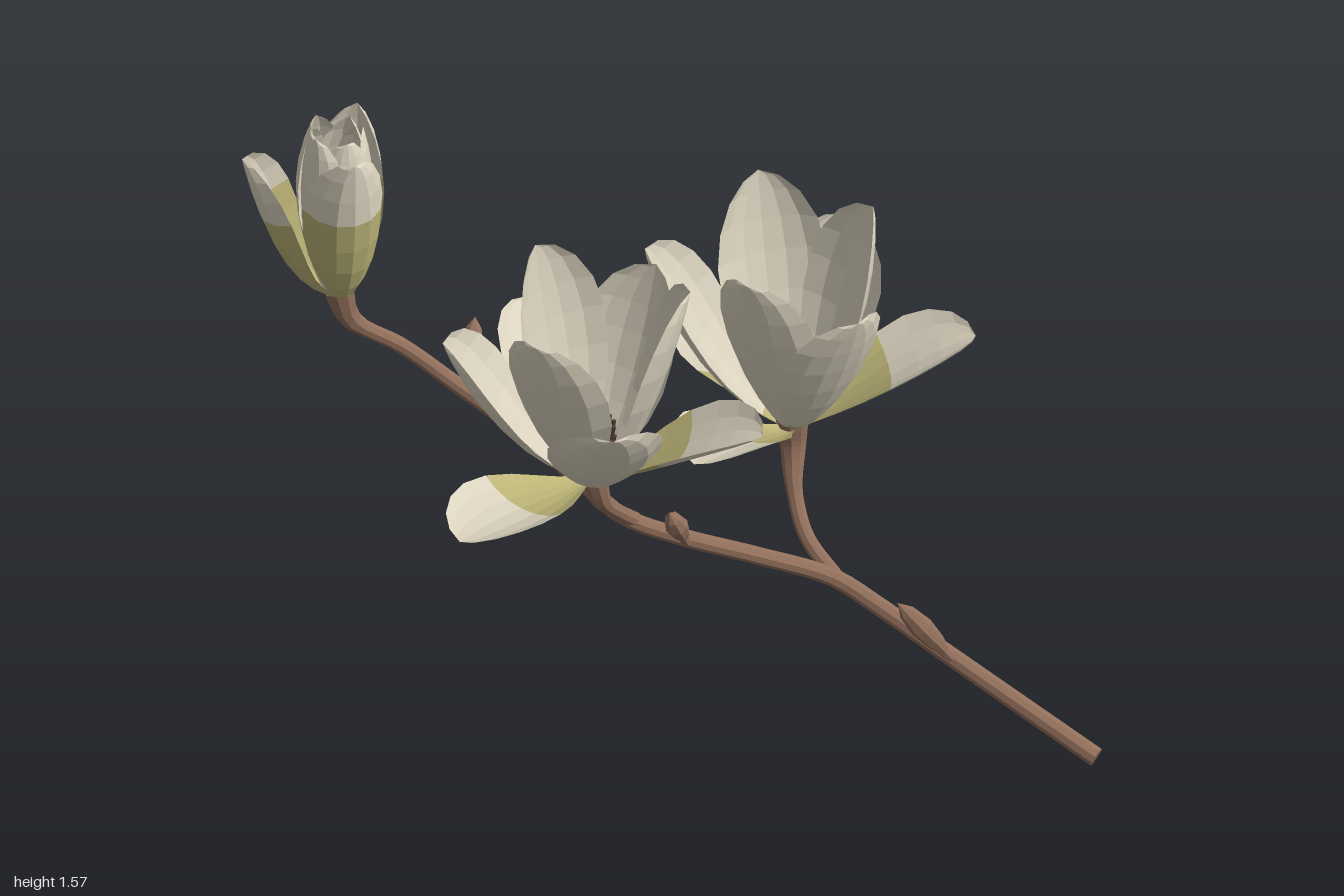
import * as THREE from 'three';

const mat = (name, color) => {
  const m = new THREE.MeshStandardMaterial({ color, side: THREE.DoubleSide });
  m.name = name;
  return m;
};
const V = (p) => new THREE.Vector3(...p);
const UP = new THREE.Vector3(0, 1, 0);

// Facet a geometry so every face has its own normal
function facet(geo) {
  const g = geo.index ? geo.toNonIndexed() : geo;
  g.computeVertexNormals();
  return g;
}

// Tube along points, with a radius that varies from 0 to 1 along its length
function taperedTube(points, radiusAt, segments = 24, sides = 9) {
  const curve = new THREE.CatmullRomCurve3(points.map(V));
  const geo = new THREE.TubeGeometry(curve, segments, 1, sides);
  const pos = geo.attributes.position, v = new THREE.Vector3();
  for (let i = 0; i < pos.count; i++) {
    const u = Math.floor(i / (sides + 1)) / segments;
    const c = curve.getPointAt(u);
    v.fromBufferAttribute(pos, i).sub(c).multiplyScalar(radiusAt(u)).add(c);
    pos.setXYZ(i, v.x, v.y, v.z);
  }
  return facet(geo);
}

// Petal rows, crowded toward the rounded tip
const ROWS = [0, 0.12, 0.25, 0.4, 0.55, 0.7, 0.82, 0.92, 0.98, 1];
const COLS = 6;
const WIDEST = 0.67;
function halfWidth(t, claw) {
  if (t > WIDEST)
    return Math.pow(Math.max(0, 1 - ((t - WIDEST) / (1 - WIDEST)) ** 2), 0.52);
  return claw + (1 - claw) * Math.pow(Math.sin((t / WIDEST) * Math.PI / 2), 1.5);
}

// Petal from base to tip; bend = [out1, up1, out2, up2] places the middle of its spine
function petalGeometry(base, tip, { width, claw, cup, bend, greenRows }) {
  const d = new THREE.Vector3(tip.x - base.x, 0, tip.z - base.z);
  const h = tip.y - base.y;
  const dir = d.clone().normalize();
  const side = new THREE.Vector3(dir.z, 0, -dir.x);
  const start = base.clone().addScaledVector(dir, 0.025);
  const via = (o, u) => base.clone().addScaledVector(d, o).addScaledVector(UP, u * h);
  const spine = new THREE.CubicBezierCurve3(
    start, via(bend[0], bend[1]), via(bend[2], bend[3]), tip);
  const grid = ROWS.map((t) => {
    const c = spine.getPoint(t);
    const n = spine.getTangent(t).cross(side).normalize();
    const w = width * halfWidth(t, claw);
    return Array.from({ length: COLS + 1 }, (_, j) => {
      const s = (j / COLS) * 2 - 1;
      return c.clone().addScaledVector(side, w * s * (1 - 0.3 * cup * s * s))
        .addScaledVector(n, w * cup * s * s);
    });
  });
  const out = [];
  for (let i = 0; i < ROWS.length - 1; i++)
    for (let j = 0; j < COLS; j++) {
      const a = grid[i][j], b = grid[i][j + 1], c = grid[i + 1][j + 1], e = grid[i + 1][j];
      const tris = i === ROWS.length - 2 ? [a, b, c] : [a, b, c, a, c, e];
      for (const p of tris) out.push(p.x, p.y, p.z);
    }
  const geo = new THREE.BufferGeometry();
  geo.setAttribute('position', new THREE.Float32BufferAttribute(out, 3));
  geo.computeVertexNormals();
  const split = greenRows * COLS * 6;
  if (split) geo.addGroup(0, split, 0);
  geo.addGroup(split, out.length / 3 - split, 1);
  return geo;
}

const WHORLS = {
  spread: { width: 0.135, claw: 0.18, cup: 0.28, bend: [0.3, 0.15, 0.65, 1.1], greenRows: 4 },
  raised: { width: 0.14, claw: 0.18, cup: 0.36, bend: [0.3, 0.22, 0.65, 0.76], greenRows: 4 },
  middle: { width: 0.158, claw: 0.18, cup: 0.4, bend: [0.42, 0.14, 0.8, 0.58], greenRows: 1 },
  inner: { width: 0.155, claw: 0.18, cup: 0.4, bend: [0.5, 0.17, 0.85, 0.6], greenRows: 0 },
  budOuter: { width: 0.13, claw: 0.35, cup: 0.75, bend: [0.85, 0.1, 1.08, 0.57], greenRows: 5 },
  budLeaning: { width: 0.12, claw: 0.35, cup: 0.65, bend: [0.55, 0.1, 0.85, 0.57], greenRows: 5 },
  budInner: { width: 0.095, claw: 0.35, cup: 0.65, bend: [1.2, 0.15, 1.7, 0.62], greenRows: 1 },
};

const FLOWERS = [
  {
    name: 'backFlower', base: [0.12, 0.63, -0.33], open: true,
    spread: [[-0.27, 0.63, -0.6], [0.08, 0.79, 0.11]],
    raised: [[0.49, 0.86, -0.56]],
    middle: [[0.09, 1.01, -0.68], [-0.22, 1.1, -0.23], [0.36, 1.09, -0.2]],
    inner: [[0.1, 1.16, -0.13], [-0.06, 1.2, -0.51], [0.25, 1.2, -0.5]],
  },
  {
    name: 'frontFlower', base: [-0.14, 0.75, 0.21], open: true,
    spread: [[-0.26, 0.82, 0.67]],
    raised: [[-0.46, 0.98, -0.08], [0.29, 0.98, 0.17]],
    middle: [[-0.09, 1.23, -0.03], [-0.45, 1.15, 0.38], [0.08, 1.14, 0.54]],
    inner: [[-0.32, 1.33, 0.15], [0.08, 1.31, 0.13], [-0.16, 1.29, 0.47]],
  },
  {
    name: 'closedFlower', base: [-0.79, 1.1, 0.25], open: false,
    budLeaning: [[-0.99, 1.5, 0.36]],
    budOuter: [[-0.7, 1.56, 0.34], [-0.81, 1.56, 0.11]],
    budInner: [[-0.87, 1.57, 0.21], [-0.75, 1.57, 0.2], [-0.82, 1.58, 0.31],
      [-0.79, 1.58, 0.19], [-0.85, 1.58, 0.28], [-0.75, 1.57, 0.28]],
  },
];

export function createModel() {
  const model = new THREE.Group();
  model.name = 'floweringBranch';
  const cream = mat('creamPetal', 0xdad2be);
  const green = mat('greenPetalBase', 0xbbb376);
  const bark = mat('brownBark', 0x916f5b);
  const dark = mat('darkStamen', 0x543a31);
  const add = (parent, name, geo, material) => {
    const m = new THREE.Mesh(geo, material);
    m.name = name;
    parent.add(m);
    return m;
  };

  // Main branch with a swelling below the closed flower
  const swell = (from, to, start) => (u) =>
    u < start ? from : from + (to - from) * ((u - start) / (1 - start));
  const mainPoints = [
    [0.99, 0.027, -0.195], [0.6, 0.2, -0.195], [0.42, 0.28, -0.195], [0.3, 0.335, -0.185],
    [0.15, 0.42, -0.08], [0, 0.5, 0.03], [-0.12, 0.565, 0.095], [-0.25, 0.63, 0.08],
    [-0.42, 0.7, 0.055], [-0.58, 0.78, 0.06], [-0.68, 0.91, 0.14], [-0.77, 1.02, 0.23],
    [-0.79, 1.12, 0.25]];
  add(model, 'mainBranch', taperedTube(mainPoints,
    (u) => 0.024 - 0.005 * u + (u > 0.93 ? (u - 0.93) * 0.28 : 0), 60), bark);
  const cut = add(model, 'cutEnd', new THREE.CircleGeometry(0.024, 9), bark);
  cut.position.set(...mainPoints[0]);
  cut.lookAt(2, -0.42, -0.195);

  // Flower stalks
  add(model, 'backStalk', taperedTube(
    [[0.31, 0.33, -0.19], [0.21, 0.4, -0.225], [0.15, 0.49, -0.28], [0.125, 0.58, -0.325],
      [0.12, 0.65, -0.33]], swell(0.019, 0.04, 0.55)), bark);
  add(model, 'frontStalk', taperedTube(
    [[-0.09, 0.55, 0.08], [-0.11, 0.6, 0.13], [-0.125, 0.67, 0.19], [-0.14, 0.77, 0.21]],
    swell(0.019, 0.038, 0.5)), bark);

  // Small leaf buds on short stems: base, tip
  const budProfile = [[0.014, 0], [0.014, 0.2], [0.022, 0.34], [0.028, 0.58], [0.02, 0.84], [0, 1]];
  const leafBuds = [
    [[-0.55, 0.76, 0.05], [-0.588, 0.885, -0.07]],
    [[-0.44, 0.7, 0.06], [-0.468, 0.825, 0.01]],
    [[0.02, 0.49, 0.03], [0.005, 0.605, 0.09]],
    [[0.62, 0.19, -0.19], [0.5, 0.365, -0.125]]];
  leafBuds.forEach(([from, to], i) => {
    const a = V(from), axis = V(to).sub(a), length = axis.length();
    const geo = new THREE.LatheGeometry(
      budProfile.map(([r, y]) => new THREE.Vector2(r, y * length)), 8);
    const bud = add(model, `leafBud${i + 1}`, facet(geo), bark);
    bud.position.copy(a);
    bud.quaternion.setFromUnitVectors(UP, axis.normalize());
  });

  // Flowers
  for (const flower of FLOWERS) {
    const group = new THREE.Group();
    group.name = flower.name;
    model.add(group);
    const base = V(flower.base);
    for (const whorl of Object.keys(WHORLS))
      (flower[whorl] || []).forEach((tip, i) => add(group, `${whorl}Petal${i + 1}`,
        petalGeometry(base, V(tip), WHORLS[whorl]), [green, cream]));
    if (!flower.open) continue;

    // Central cone and its ring of stamens
    const core = add(group, 'centralCone', facet(new THREE.LatheGeometry(
      [[0.034, 0], [0.042, 0.06], [0.034, 0.13], [0, 0.18]]
        .map(([r, y]) => new THREE.Vector2(r, y)), 8)), bark);
    core.position.copy(base);
    const count = 28;
    for (let i = 0; i < count; i++) {
      const a = (i / count) * Math.PI * 2;
      const out = new THREE.Vector3(Math.cos(a), 0, Math.sin(a));
      const stamen = add(group, 'stamen',
        facet(new THREE.CylinderGeometry(0.006, 0.005, 0.08, 5)), dark);
      stamen.position.copy(base).addScaledVector(out, 0.046)
        .addScaledVector(UP, 0.08 + (i % 2) * 0.035);
      stamen.quaternion.setFromUnitVectors(UP, out.multiplyScalar(0.2).add(UP).normalize());
    }
  }
  return model;
}
